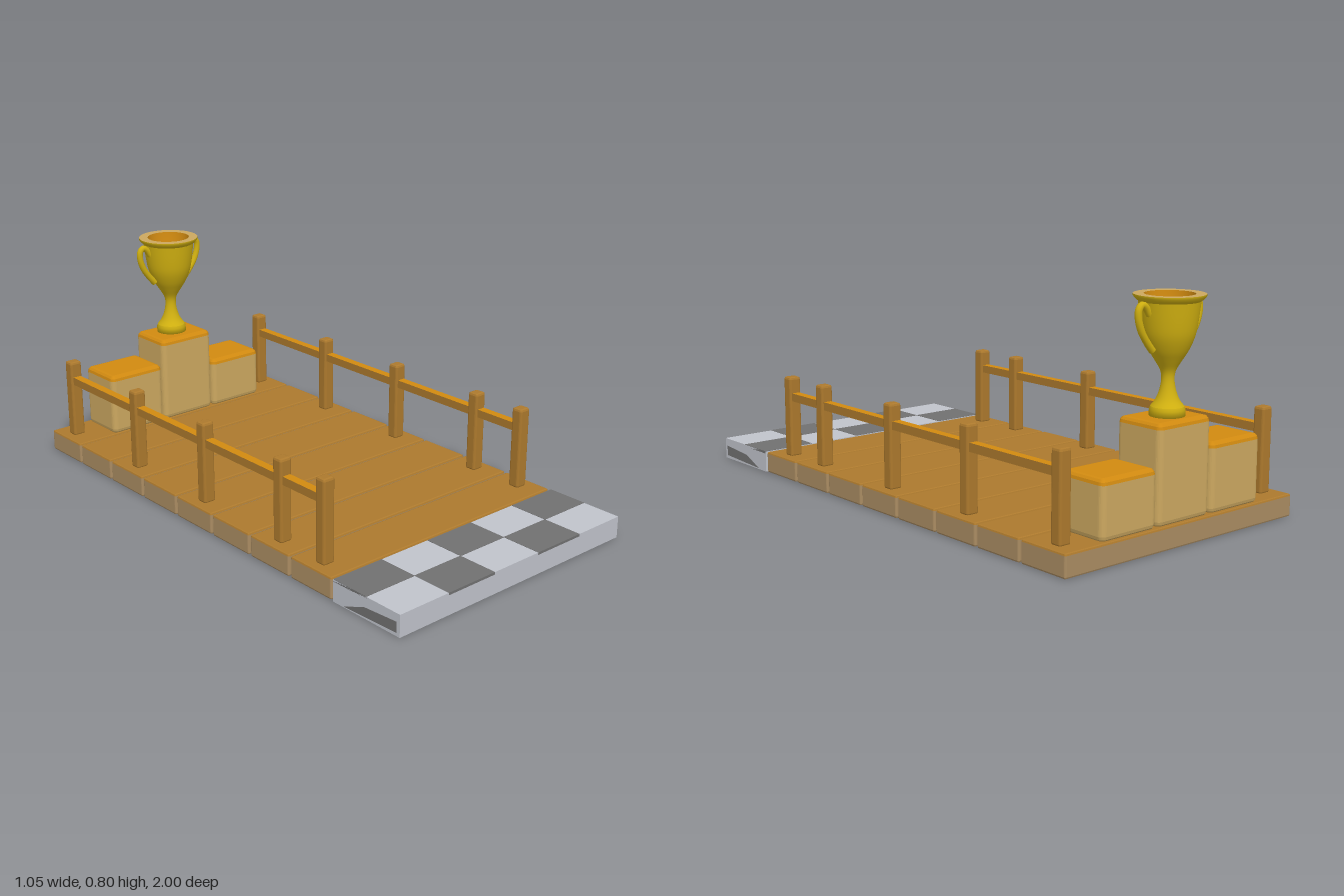
import * as THREE from 'three';

const mat = (name, color, side = THREE.FrontSide) => {
  const m = new THREE.MeshStandardMaterial({ color, side });
  m.name = name;
  return m;
};

export function createModel() {
  const root = new THREE.Group();
  root.name = 'podiumBridge';
  const wood = mat('brown wood', 0xac792d);
  const plankSide = mat('plank edge tan', 0xaa8c62);
  const tan = mat('podium tan', 0xcca860);
  const orange = mat('orange', 0xd18a10);
  const gold = mat('gold', 0xd0b010);
  const stone = mat('light stone', 0xc0c3cb);
  const dark = mat('dark stone', 0x717171);

  const add = (name, geo, material, x = 0, y = 0, z = 0, parent = root) => {
    const m = new THREE.Mesh(geo, material);
    m.name = name;
    m.position.set(x, y, z);
    parent.add(m);
    return m;
  };

  // Bevelled block standing on y = 0; top face and top bevel use the second material
  const block = (w, h, d, b, segments = 2) => {
    const x = w / 2 - b, y = d / 2 - b, r = b;
    const s = new THREE.Shape();
    s.moveTo(-x, -y - r).lineTo(x, -y - r);
    s.absarc(x, -y, r, -Math.PI / 2, 0);
    s.absarc(x, y, r, 0, Math.PI / 2);
    s.absarc(-x, y, r, Math.PI / 2, Math.PI);
    s.absarc(-x, -y, r, Math.PI, Math.PI * 1.5);
    const g = new THREE.ExtrudeGeometry(s, {
      depth: h - 2 * b, curveSegments: 3, bevelEnabled: true,
      bevelThickness: b, bevelSize: b * 0.95, bevelOffset: -b * 0.95, bevelSegments: segments,
    });
    g.rotateX(-Math.PI / 2).translate(0, b, 0);
    g.clearGroups();
    const p = g.attributes.position;
    let start = 0, current = -1;
    for (let i = 0; i < p.count; i += 3) {
      const low = Math.min(p.getY(i), p.getY(i + 1), p.getY(i + 2));
      const id = low > h - b - 1e-4 ? 1 : 0;
      if (id !== current) {
        if (current >= 0) g.addGroup(start, i - start, current);
        start = i;
        current = id;
      }
    }
    g.addGroup(start, p.count - start, current);
    return g;
  };

  // Deck planks
  const plank = block(1.05, 0.08, 0.2, 0.007);
  for (let i = 0; i < 8; i++) {
    add('plank', plank, [plankSide, wood], 0, 0, 0.588 - i * 0.2095);
  }

  // Chequered stone slab
  const slab = new THREE.Group();
  slab.name = 'startSlab';
  root.add(slab);
  add('slab', new THREE.BoxGeometry(1.05, 0.079, 0.302), stone, 0, 0.0395, 0.848, slab);
  for (let row = 0; row < 2; row++) {
    for (let col = row; col < 5; col += 2) {
      add('darkTile', new THREE.BoxGeometry(0.21, 0.009, 0.152), dark,
        (col - 2) * 0.21, 0.0757, 0.774 + row * 0.15, slab);
    }
  }
  // Dark stain low on the slab ends
  const stain = new THREE.Shape([[-0.985, 0.012], [-0.75, 0.004], [-0.84, 0.04], [-0.985, 0.05]]
    .map(([a, b]) => new THREE.Vector2(a, b)));
  const stainGeo = new THREE.ExtrudeGeometry(stain, { depth: 0.002, bevelEnabled: false });
  stainGeo.rotateY(Math.PI / 2);
  for (const s of [-1, 1]) add('sideStain', stainGeo, dark, s * 0.525 - 0.001, 0, 0, slab);

  // Fences on both sides
  const post = block(0.048, 0.305, 0.044, 0.009);
  const rail = new THREE.BoxGeometry(0.032, 0.03, 1.48);
  for (const s of [-1, 1]) {
    const fence = new THREE.Group();
    fence.name = s > 0 ? 'leftFence' : 'rightFence';
    fence.position.x = s * 0.465;
    root.add(fence);
    for (const z of [0.59, 0.377, -0.042, -0.457, -0.893]) {
      add('post', post, [wood, wood], 0, 0.075, z, fence);
    }
    add('rail', rail, [wood, wood, orange, wood, wood, wood], 0, 0.305, -0.15, fence);
  }

  // Winners' podium
  for (const [name, x, top] of [['secondStep', -0.243, 0.315], ['firstStep', 0.002, 0.41], ['thirdStep', 0.247, 0.275]]) {
    add(name, block(0.238, top - 0.075, 0.188, 0.02, 3), [tan, orange], x, 0.075, -0.875);
  }

  // Trophy cup
  const cup = new THREE.Group();
  cup.name = 'trophy';
  cup.position.set(0, 0.405, -0.884);
  root.add(cup);
  const v = (pts) => pts.map(([x, y]) => new THREE.Vector2(x, y));
  const lathe = (pts) => new THREE.LatheGeometry(v(pts), 32);
  const body = new THREE.SplineCurve(v([[0.054, 0.036], [0.038, 0.058], [0.026, 0.09], [0.021, 0.125],
    [0.026, 0.153], [0.045, 0.185], [0.065, 0.218], [0.083, 0.262], [0.092, 0.31], [0.099, 0.372]]));
  add('foot', lathe([[0, 0], [0.058, 0], [0.058, 0.026], [0.054, 0.036]]), gold, 0, 0, 0, cup);
  add('bowl', new THREE.LatheGeometry(body.getPoints(36), 32), gold, 0, 0, 0, cup);
  add('lip', lathe([[0.099, 0.372], [0.107, 0.378], [0.116, 0.388], [0.116, 0.395]]), gold, 0, 0, 0, cup);
  add('rim', lathe([[0.116, 0.395], [0.082, 0.395]]), tan, 0, 0, 0, cup);
  add('inside', lathe([[0.082, 0.395], [0.075, 0.32], [0.052, 0.25], [0, 0.245]]), orange, 0, 0, 0, cup);

  // Cup handles
  for (const s of [-1, 1]) {
    const path = new THREE.CatmullRomCurve3([[0.09, 0.335], [0.108, 0.36], [0.124, 0.368], [0.137, 0.355],
      [0.138, 0.325], [0.124, 0.285], [0.1, 0.25], [0.074, 0.22]]
      .map(([x, y]) => new THREE.Vector3(s * x, y, 0)));
    add('handle', new THREE.TubeGeometry(path, 32, 0.012, 10), gold, 0, 0, 0, cup);
  }
  return root;
}
